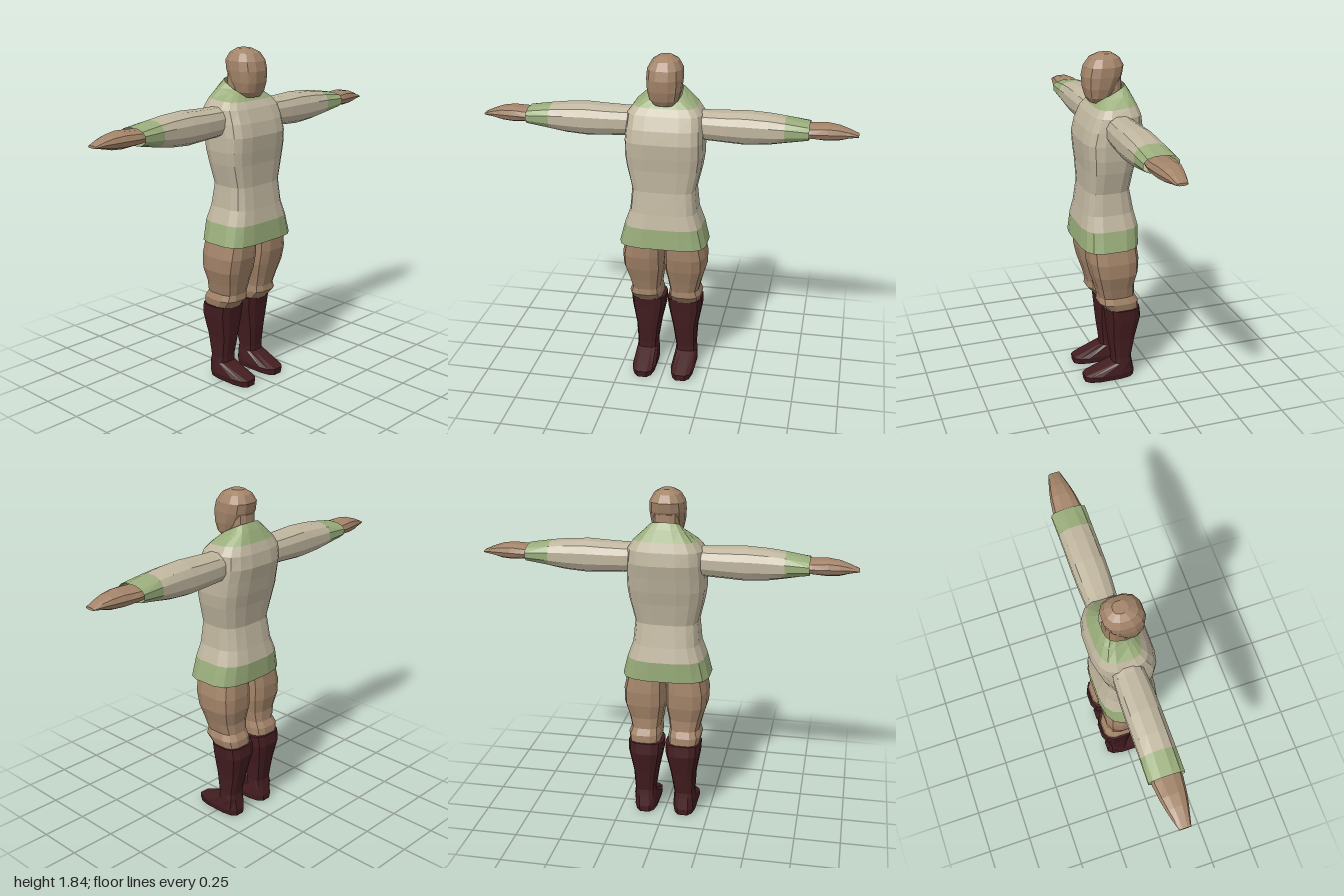
import * as THREE from 'three';

const material = (name, color, side = THREE.FrontSide) => {
  const m = new THREE.MeshStandardMaterial({ color, flatShading: true, side });
  m.name = name;
  return m;
};

// Sections are [height, x0, x1, z0, z1, heightAtBack?], listed upwards.
// swap turns the loft to run along x; mirror reflects it to the other side.
function loft(sections, { sides = 12, power = 0.75, backPower = power, swap = false, mirror = false, caps = true } = {}) {
  const rings = sections.map(([h, x0, x1, z0, z1, hBack = h]) => {
    const ring = [];
    for (let i = 0; i < sides; i++) {
      const a = ((i + 0.5) / sides) * Math.PI * 2;
      const c = Math.cos(a), s = Math.sin(a), p = s < 0 ? backPower : power;
      const u = Math.sign(c) * Math.abs(c) ** p, w = Math.sign(s) * Math.abs(s) ** p;
      const x = (x0 + x1) / 2 + (u * (x1 - x0)) / 2;
      const z = (z0 + z1) / 2 + (w * (z1 - z0)) / 2;
      const y = h + (hBack - h) * (1 - w) / 2;
      const v = swap ? new THREE.Vector3(y, x, z) : new THREE.Vector3(x, y, z);
      if (mirror) v.x *= -1;
      ring.push(v);
    }
    return ring;
  });
  const pos = [];
  const tri = (a, b, c) => {
    for (const v of swap !== mirror ? [a, c, b] : [a, b, c]) pos.push(v.x, v.y, v.z);
  };
  for (let k = 0; k < rings.length - 1; k++) {
    for (let i = 0; i < sides; i++) {
      const j = (i + 1) % sides, lo = rings[k], hi = rings[k + 1];
      tri(lo[i], hi[i], lo[j]);
      tri(hi[i], hi[j], lo[j]);
    }
  }
  if (caps) {
    const lo = rings[0], hi = rings[rings.length - 1];
    for (let i = 1; i < sides - 1; i++) {
      tri(lo[0], lo[i], lo[i + 1]);
      tri(hi[0], hi[i + 1], hi[i]);
    }
  }
  const g = new THREE.BufferGeometry();
  g.setAttribute('position', new THREE.Float32BufferAttribute(pos, 3));
  g.computeVertexNormals();
  return g;
}

export function createModel() {
  const model = new THREE.Group();
  model.name = 'figure';
  const tan = material('tan', 0xa38469);
  const cream = material('cream', 0xc0b69f, THREE.DoubleSide);
  const green = material('green', 0x9aad7b, THREE.DoubleSide);
  const maroon = material('maroon', 0x431d20);
  const add = (name, mat, sections, options) => {
    const mesh = new THREE.Mesh(loft(sections, options), mat);
    mesh.name = name;
    model.add(mesh);
  };

  // Tunic: flat front, rounder back
  const body = { sides: 16, power: 0.5, backPower: 0.65, caps: false };
  add('tunicHem', green, [
    [0.82, -0.24, 0.24, -0.15, 0.178],
    [0.93, -0.212, 0.212, -0.152, 0.17],
  ], body);
  add('tunic', cream, [
    [0.93, -0.212, 0.212, -0.152, 0.17],
    [1.01, -0.183, 0.183, -0.132, 0.155],
    [1.13, -0.172, 0.172, -0.108, 0.138],
    [1.25, -0.2, 0.2, -0.128, 0.142],
    [1.32, -0.21, 0.21, -0.145, 0.15],
    [1.4, -0.21, 0.21, -0.16, 0.156],
    [1.47, -0.206, 0.206, -0.175, 0.14],
    [1.54, -0.2, 0.2, -0.165, 0.108],
    [1.575, -0.17, 0.17, -0.145, 0.08, 1.59],
  ], body);
  add('collar', green, [
    [1.575, -0.17, 0.17, -0.145, 0.08, 1.59],
    [1.605, -0.115, 0.115, -0.115, 0.055, 1.65],
    [1.615, -0.085, 0.085, -0.093, 0.045, 1.685],
  ], body);

  // Neck and head
  add('neck', tan, [
    [1.54, -0.07, 0.07, -0.085, 0.035],
    [1.72, -0.068, 0.068, -0.08, 0.04],
  ]);
  add('head', tan, [
    [1.592, -0.05, 0.05, 0.02, 0.09],
    [1.62, -0.078, 0.078, -0.02, 0.107],
    [1.67, -0.09, 0.09, -0.05, 0.121],
    [1.73, -0.095, 0.095, -0.083, 0.126],
    [1.78, -0.092, 0.092, -0.092, 0.115],
    [1.82, -0.07, 0.07, -0.07, 0.087],
    [1.842, -0.034, 0.034, -0.034, 0.042],
  ], { power: 0.8 });

  for (const mirror of [false, true]) {
    const side = mirror ? 'right' : 'left';

    // Arm: sections run outwards as [x, y0, y1, z0, z1]
    const arm = { swap: true, mirror, caps: false, power: 0.85 };
    add(side + 'Sleeve', cream, [
      [0.13, 1.4, 1.555, -0.095, 0.055],
      [0.22, 1.395, 1.552, -0.105, 0.063],
      [0.32, 1.39, 1.555, -0.11, 0.07],
      [0.42, 1.384, 1.56, -0.112, 0.072],
      [0.54, 1.393, 1.553, -0.112, 0.072],
      [0.625, 1.408, 1.542, -0.113, 0.072],
    ], arm);
    add(side + 'Cuff', green, [
      [0.625, 1.408, 1.542, -0.113, 0.072],
      [0.75, 1.433, 1.521, -0.116, 0.072],
    ], arm);
    add(side + 'Hand', tan, [
      [0.68, 1.445, 1.51, -0.09, 0.045],
      [0.76, 1.44, 1.515, -0.1, 0.056],
      [0.84, 1.433, 1.52, -0.09, 0.046],
      [0.9, 1.437, 1.512, -0.078, 0.034],
      [0.95, 1.45, 1.495, -0.065, 0.022],
      [1.0, 1.46, 1.473, -0.05, 0.01],
    ], { ...arm, caps: true, sides: 10 });

    // Leg, with the trouser knee gathered into the boot
    const leg = { mirror, power: 0.65 };
    add(side + 'Trouser', tan, [
      [0.42, 0.03, 0.18, -0.13, 0.025],
      [0.445, 0.022, 0.195, -0.145, 0.045],
      [0.485, 0.02, 0.203, -0.142, 0.083],
      [0.52, 0.025, 0.19, -0.122, 0.08],
      [0.58, 0.016, 0.205, -0.118, 0.096],
      [0.66, 0, 0.23, -0.135, 0.122],
      [0.74, 0, 0.232, -0.138, 0.14],
      [0.9, 0, 0.2, -0.12, 0.145],
    ], leg);
    add(side + 'Boot', maroon, [
      [0, 0.05, 0.17, -0.125, 0.165],
      [0.035, 0.042, 0.18, -0.128, 0.168],
      [0.1, 0.052, 0.174, -0.113, 0.0],
      [0.13, 0.054, 0.17, -0.108, 0.0],
      [0.25, 0.036, 0.176, -0.132, 0.018],
      [0.38, 0.008, 0.2, -0.16, 0.03],
      [0.442, 0.004, 0.203, -0.152, 0.037],
    ], leg);
  }
  return model;
}
